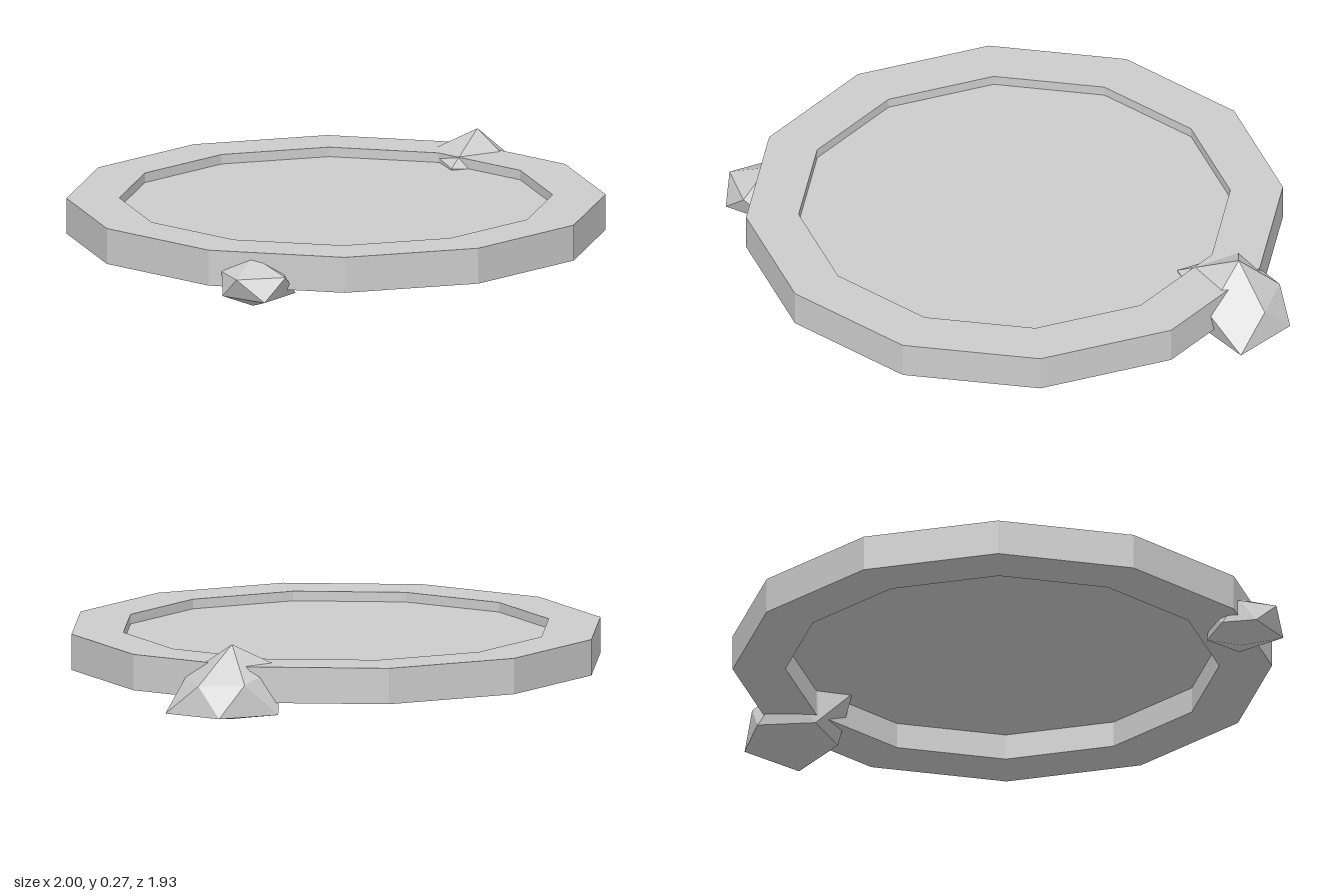
import * as THREE from 'three';

const stone = new THREE.MeshStandardMaterial({ color: 0xcccccc, flatShading: true });
stone.name = 'paleStone';
const stoneSheet = stone.clone();
stoneSheet.name = 'paleStoneSheet';
stoneSheet.side = THREE.DoubleSide;

// Faceted boulder: a top and bottom point joined by two staggered rings of five
function makeRock(name, top, bottom, upper, lower) {
  const pos = [];
  const face = (...corners) => corners.forEach((p) => pos.push(...p));
  for (let i = 0; i < 5; i++) {
    const j = (i + 1) % 5;
    face(top, upper[j], upper[i]);
    face(upper[i], upper[j], lower[i]);
    face(upper[j], lower[j], lower[i]);
    face(bottom, lower[i], lower[j]);
  }
  const geo = new THREE.BufferGeometry();
  geo.setAttribute('position', new THREE.Float32BufferAttribute(pos, 3));
  geo.computeVertexNormals();
  const mesh = new THREE.Mesh(geo, stone);
  mesh.name = name;
  return mesh;
}

export function createModel() {
  const model = new THREE.Group();
  model.name = 'stonePlatform';

  // Twelve-sided rim with a rectangular section
  const section = [[0.775, 0.075], [0.964, 0.075], [0.964, 0.205], [0.775, 0.205], [0.775, 0.075]];
  const rim = new THREE.Mesh(
    new THREE.LatheGeometry(section.map(([r, y]) => new THREE.Vector2(r, y)), 12).toNonIndexed(),
    stone
  );
  rim.geometry.computeVertexNormals();
  rim.name = 'rim';
  rim.position.x = -0.036;
  model.add(rim);

  // Thin floor set just below the top of the rim
  const floor = new THREE.Mesh(new THREE.CircleGeometry(0.775, 12).rotateX(-Math.PI / 2), stoneSheet);
  floor.name = 'floor';
  floor.position.set(-0.036, 0.17, 0);
  model.add(floor);

  // Large boulder breaking through the rim
  model.add(makeRock('largeRock', [0.8, 0.275, -0.388], [0.8, 0.005, -0.388],
    [[0.96, 0.14, -0.388], [0.86, 0.15, -0.212], [0.608, 0.176, -0.255], [0.66, 0.192, -0.485], [0.86, 0.15, -0.525]],
    [[1, 0.03, -0.255], [0.75, 0.035, -0.235], [0.64, 0.045, -0.388], [0.74, 0.035, -0.57], [0.96, 0.035, -0.5]]));

  // Small boulder tucked under the opposite edge
  model.add(makeRock('smallRock', [-0.745, 0.185, 0.58], [-0.745, 0.005, 0.58],
    [[-0.63, 0.13, 0.58], [-0.695, 0.13, 0.72], [-0.865, 0.13, 0.66], [-0.84, 0.13, 0.52], [-0.69, 0.13, 0.49]],
    [[-0.61, 0.05, 0.65], [-0.79, 0.05, 0.73], [-0.87, 0.055, 0.575], [-0.8, 0.05, 0.475], [-0.64, 0.05, 0.5]]));

  return model;
}
